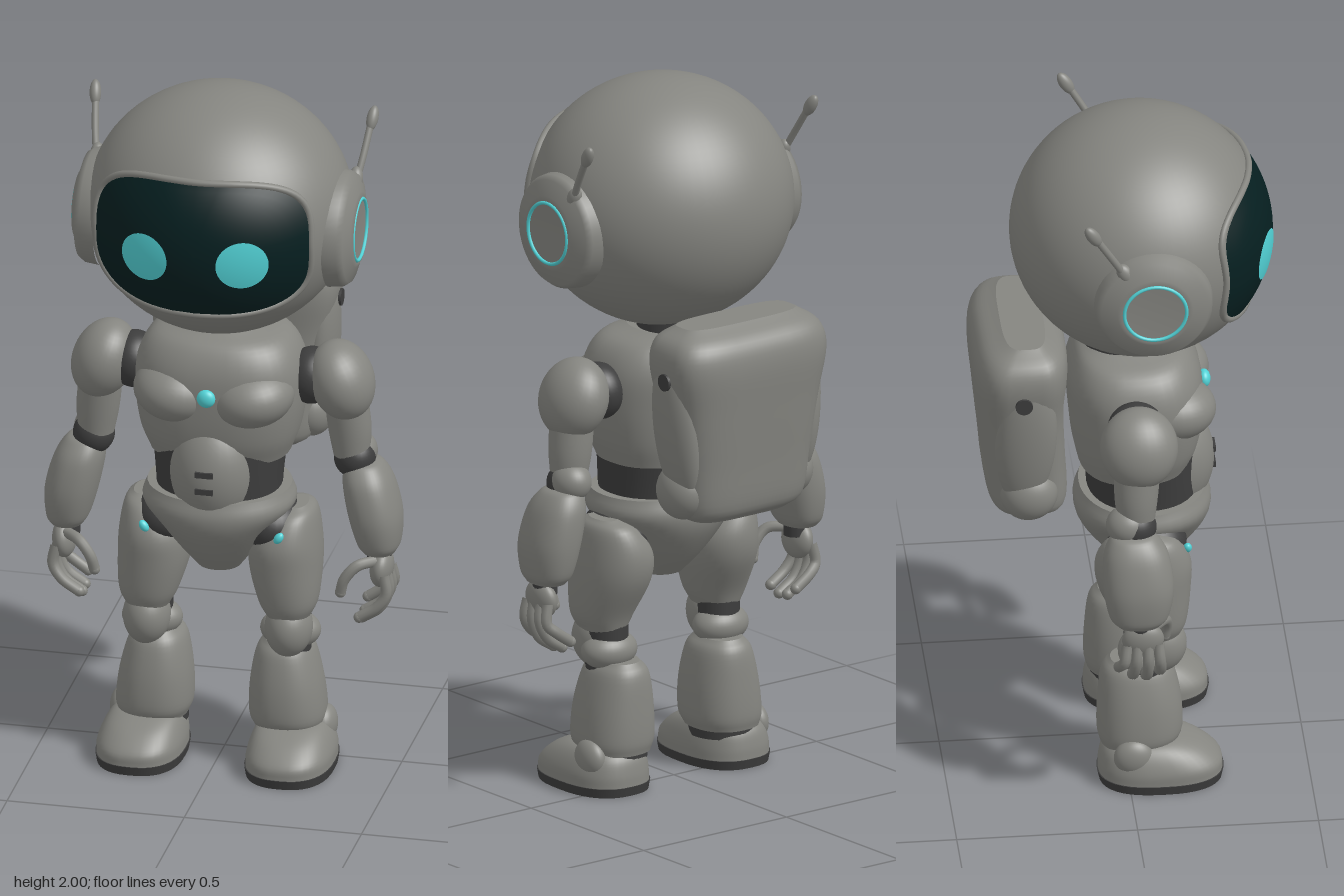
import * as THREE from 'three';

const mat = (name, color, side = THREE.FrontSide) => {
  const m = new THREE.MeshStandardMaterial({ color, side });
  m.name = name;
  return m;
};

export function createModel() {
  const root = new THREE.Group();
  root.name = 'robot';
  const shell = mat('shell grey', 0x858580);
  const dark = mat('joint dark grey', 0x3d3d3d);
  const glass = mat('visor glass', 0x061f20, THREE.DoubleSide);
  const glow = mat('cyan light', 0x52d2d6, THREE.DoubleSide);

  const add = (name, geo, material, pos = [0, 0, 0], rot = [0, 0, 0]) => {
    const m = new THREE.Mesh(geo, material);
    m.name = name;
    m.position.set(...pos);
    m.rotation.set(...rot);
    root.add(m);
    return m;
  };

  // closed grid: rows of points, wrapped around the columns
  const grid = (rows, cols, fn) => {
    const pos = [], idx = [];
    for (let i = 0; i < rows; i++) {
      for (let j = 0; j < cols; j++) {
        pos.push(...fn(i, (j / cols) * Math.PI * 2));
        if (i === rows - 1) continue;
        const a = i * cols + j, c = i * cols + ((j + 1) % cols);
        idx.push(a, a + cols, c, a + cols, c + cols, c);
      }
    }
    const g = new THREE.BufferGeometry();
    g.setAttribute('position', new THREE.Float32BufferAttribute(pos, 3));
    g.setIndex(idx);
    g.computeVertexNormals();
    return g;
  };
  const pw = (v, n) => Math.sign(v) * Math.pow(Math.abs(v), 2 / n);

  // upright loft through superellipse sections [y, cx, cz, rx, rz], smoothed, with caps
  const loft = (sections, n = 2, s = 1) => {
    const mid = new THREE.CatmullRomCurve3(sections.map(([y, cx, cz]) => new THREE.Vector3(cx * s, y, cz)), false, 'catmullrom');
    const rad = new THREE.CatmullRomCurve3(sections.map((k) => new THREE.Vector3(k[3], k[4], 0)), false, 'catmullrom');
    const steps = (sections.length - 1) * 5;
    return grid(steps + 5, 40, (i, a) => {
      const t = THREE.MathUtils.clamp((i - 2) / steps, 0, 1);
      const k = i === 0 || i === steps + 4 ? 0 : 1;
      const c = mid.getPoint(t), r = rad.getPoint(t);
      return [c.x + k * r.x * pw(Math.cos(a), n), c.y, c.z + k * r.y * pw(Math.sin(a), n)];
    });
  };
  const ball = (name, material, pos, r, rot) =>
    add(name, new THREE.SphereGeometry(1, 32, 22), material, pos, rot).scale.set(...r);
  const tube = (pts, r, closed = false, seg = 16) =>
    new THREE.TubeGeometry(new THREE.CatmullRomCurve3(pts.map((p) => new THREE.Vector3(...p)), closed), seg, r, 10, closed);

  // head, with visor and eyes laid on its curved front
  const H = { y: 1.65, z: 0.055, rx: 0.37, ry: 0.35, rz: 0.36 };
  add('head', new THREE.SphereGeometry(1, 64, 48), shell, [0, H.y, H.z]).scale.set(H.rx, H.ry, H.rz);
  const onHead = (x, y, k) => {
    const q = 1 - (x / (H.rx * k)) ** 2 - ((y - H.y) / (H.ry * k)) ** 2;
    return [x, y, H.z + H.rz * k * Math.sqrt(Math.max(q, 0))];
  };
  const outline = (a, cx, cy, rx, ry, n, r = 1) => [cx + r * rx * pw(Math.cos(a), n), cy + r * ry * pw(Math.sin(a), n)];
  const patch = (cx, cy, rx, ry, n, k) => grid(15, 72, (i, a) => onHead(...outline(a, cx, cy, rx, ry, n, i / 14), k));
  add('visor', patch(0, 1.652, 0.3, 0.193, 3.2, 1.016), glass);
  const rim = [];
  for (let i = 0; i < 48; i++) rim.push(onHead(...outline((i / 48) * Math.PI * 2, 0, 1.652, 0.304, 0.198, 3.2), 1.008));
  add('visorRim', tube(rim, 0.01, true, 120), shell);
  for (const s of [1, -1]) add('eye', patch(s * 0.138, 1.63, 0.069, 0.07, 2, 1.026), glow);
  add('neck', new THREE.CylinderGeometry(0.095, 0.11, 0.14, 32), dark, [0, 1.3, 0]);

  // torso
  add('waist', loft([[0.74, 0, 0.06, 0.17, 0.15], [0.85, 0, 0.06, 0.175, 0.155], [1.0, 0, 0.05, 0.19, 0.16]], 2.2), dark);
  add('chest', loft([[0.93, 0, 0.035, 0.195, 0.155], [1.0, 0, 0.04, 0.22, 0.175], [1.1, 0, 0.04, 0.235, 0.185],
    [1.2, 0, 0.035, 0.23, 0.185], [1.27, 0, 0.03, 0.19, 0.155], [1.3, 0, 0.02, 0.11, 0.11]], 2.5), shell);
  ball('bellyPlate', shell, [0, 0.9, 0.13], [0.125, 0.17, 0.13]);
  for (const y of [0.925, 0.875]) add('bellySlot', new THREE.BoxGeometry(0.05, 0.016, 0.008), dark, [0, y, 0.259]);
  add('collarNotch', new THREE.ConeGeometry(0.07, 0.08, 24), dark, [0, 1.27, 0.1], [Math.PI - 0.5, 0, 0]);
  ball('chestLight', glow, [0, 1.145, 0.232], [0.026, 0.026, 0.018]);
  add('pelvis', loft([[0.58, 0, 0.06, 0.06, 0.06], [0.64, 0, 0.06, 0.105, 0.12], [0.72, 0, 0.06, 0.165, 0.175],
    [0.78, 0, 0.06, 0.212, 0.19], [0.83, 0, 0.06, 0.2, 0.175]], 2.1), shell);

  // backpack
  add('backpack', loft([[0.83, 0, -0.26, 0.16, 0.08], [0.87, 0, -0.265, 0.2, 0.11], [1.0, 0, -0.275, 0.215, 0.115],
    [1.15, 0, -0.285, 0.235, 0.12], [1.28, 0, -0.285, 0.26, 0.13], [1.35, 0, -0.28, 0.245, 0.115],
    [1.39, 0, -0.275, 0.19, 0.06]], 3.6), shell);

  for (const s of [1, -1]) {
    const X = (p) => [p[0] * s, p[1], p[2]];

    // ear disc, glowing ring and antenna
    const profile = [[0.165, 0], [0.16, 0.04], [0.148, 0.057], [0.105, 0.07], [0.094, 0.076], [0.088, 0.07], [0, 0.07]];
    add('earDisc', new THREE.LatheGeometry(profile.map((p) => new THREE.Vector2(...p)), 48), shell,
      [s * 0.322, 1.62, 0.06], [0, 0, -s * Math.PI / 2]);
    add('earRing', new THREE.TorusGeometry(0.086, 0.005, 8, 48), glow, [s * 0.395, 1.62, 0.06], [0, Math.PI / 2, 0]);
    add('antenna', tube([[0.365, 1.72, -0.015], [0.378, 1.79, -0.055], [0.39, 1.88, -0.11]].map(X), 0.01), shell);
    ball('antennaBase', shell, [s * 0.365, 1.735, -0.02], [0.02, 0.035, 0.022], [-0.5, 0, 0]);
    ball('antennaTip', shell, [s * 0.391, 1.88, -0.112], [0.016, 0.036, 0.018], [-0.55, 0, -s * 0.1]);

    // backpack side panel, bolt hole and lower pod
    ball('packPanel', shell, [s * 0.21, 1.11, -0.28], [0.05, 0.22, 0.085], [0.05, 0, -s * 0.08]);
    add('packHole', new THREE.CylinderGeometry(0.024, 0.024, 0.008, 20), dark, [s * 0.262, 1.25, -0.29], [0, 0, Math.PI / 2]);
    ball('packPod', shell, [s * 0.185, 0.92, -0.27], [0.065, 0.08, 0.08]);

    // chest plate
    ball('pectoral', shell, [s * 0.105, 1.125, 0.13], [0.12, 0.088, 0.125], [0, s * 0.2, s * 0.12]);

    // arm
    ball('shoulderJoint', dark, [s * 0.25, 1.15, 0.02], [0.07, 0.08, 0.08]);
    ball('shoulder', shell, [s * 0.335, 1.145, 0.02], [0.088, 0.115, 0.108], [0, 0, s * 0.35]);
    add('upperArm', loft([[0.92, 0.36, 0.01, 0.05, 0.05], [1.0, 0.355, 0.01, 0.06, 0.06], [1.1, 0.345, 0.015, 0.06, 0.065]], 2, s), shell);
    ball('elbow', dark, [s * 0.368, 0.91, 0.005], [0.058, 0.06, 0.06]);
    ball('elbowCap', shell, [s * 0.372, 0.92, -0.015], [0.055, 0.055, 0.06]);
    add('forearm', loft([[0.64, 0.44, 0.01, 0.045, 0.06], [0.67, 0.438, 0.01, 0.06, 0.083], [0.75, 0.428, 0.01, 0.073, 0.097],
      [0.84, 0.408, 0.005, 0.07, 0.09], [0.89, 0.395, 0, 0.053, 0.065], [0.905, 0.39, 0, 0.03, 0.04]], 2.3, s), shell);
    add('wrist', new THREE.CylinderGeometry(0.035, 0.035, 0.06, 20), dark, [s * 0.44, 0.635, 0.015]);

    // hand
    ball('palm', shell, [s * 0.448, 0.59, 0.02], [0.032, 0.055, 0.058], [0, 0, -s * 0.1]);
    for (let i = 0; i < 4; i++) {
      const z = 0.062 - i * 0.029, tip = 0.07 - i * 0.037, drop = [0.015, 0, 0.005, 0.03][i];
      add('finger', tube([[0.462, 0.585, z], [0.47, 0.53, (z + tip) / 2], [0.445, 0.475 + drop, tip], [0.395, 0.44 + drop, tip]].map(X), 0.0155), shell);
      ball('fingertip', shell, X([0.395, 0.44 + drop, tip]), [0.0155, 0.0155, 0.0155]);
    }
    add('thumb', tube([[0.435, 0.62, 0.05], [0.392, 0.615, 0.085], [0.358, 0.575, 0.095], [0.347, 0.535, 0.09]].map(X), 0.0155), shell);
    ball('thumbTip', shell, X([0.347, 0.535, 0.09]), [0.0155, 0.0155, 0.0155]);

    // leg
    ball('hipLight', glow, [s * 0.19, 0.715, 0.168], [0.012, 0.018, 0.012], [0, 0, -s * 0.6]);
    ball('hipJoint', dark, [s * 0.15, 0.72, 0.06], [0.09, 0.08, 0.11]);
    add('thigh', loft([[0.45, 0.198, 0.07, 0.06, 0.075], [0.5, 0.196, 0.07, 0.083, 0.095], [0.6, 0.185, 0.05, 0.1, 0.127],
      [0.68, 0.185, 0.045, 0.096, 0.132], [0.75, 0.205, 0.04, 0.063, 0.1], [0.775, 0.215, 0.04, 0.03, 0.05]], 2.2, s), shell);
    add('kneeJoint', new THREE.CylinderGeometry(0.06, 0.06, 0.16, 24), dark, [s * 0.195, 0.41, 0.05]);
    ball('kneeHinge', shell, [s * 0.195, 0.39, 0.04], [0.085, 0.055, 0.065]);
    ball('kneePad', shell, [s * 0.2, 0.415, 0.085], [0.066, 0.085, 0.08]);
    add('shin', loft([[0.11, 0.19, 0.03, 0.095, 0.105], [0.15, 0.188, 0.035, 0.106, 0.118], [0.24, 0.184, 0.035, 0.1, 0.115],
      [0.33, 0.18, 0.03, 0.08, 0.1], [0.365, 0.18, 0.03, 0.055, 0.075]], 2.3, s), shell);

    // foot
    ball('ankleCap', shell, [s * 0.285, 0.1, 0.01], [0.035, 0.055, 0.055]);
    add('ankleBand', loft([[0.085, 0.195, 0.03, 0.098, 0.1], [0.125, 0.192, 0.03, 0.096, 0.1]], 2, s), dark);
    add('foot', loft([[0.025, 0.21, 0.09, 0.121, 0.172], [0.06, 0.21, 0.088, 0.119, 0.168], [0.1, 0.207, 0.07, 0.105, 0.14],
      [0.125, 0.203, 0.055, 0.085, 0.1], [0.135, 0.2, 0.05, 0.05, 0.06]], 2.5, s), shell);
    add('sole', loft([[0, 0.21, 0.09, 0.12, 0.17], [0.026, 0.21, 0.09, 0.124, 0.175]], 2.5, s), dark);
  }
  return root;
}
